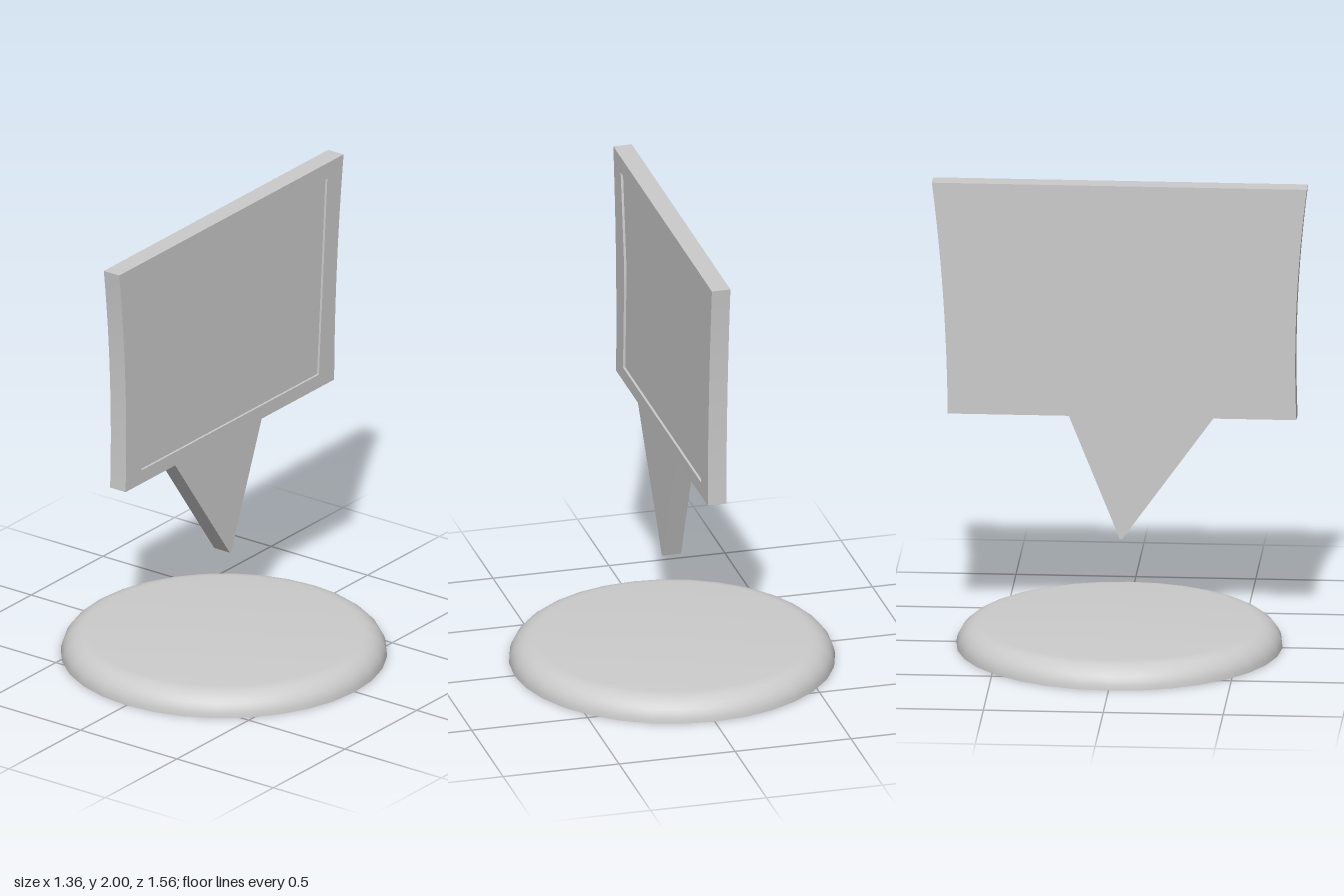
import * as THREE from 'three';
import { toCreasedNormals } from 'three/addons/utils/BufferGeometryUtils.js';

const material = new THREE.MeshStandardMaterial({ color: 0xcccccc });

// Outline of the sign: slightly flared, bowed sides and an off-centre pointer (drawn in -z, y)
function signOutline() {
  const s = new THREE.Shape();
  s.moveTo(-0.74, 1);
  s.lineTo(-0.394, 1);
  s.lineTo(0.0, 0.47);
  s.lineTo(-0.004 + 0.004 - 0.004 + 0.0, 0.47);
  return s;
}

// Closed sign shape
function signShape() {
  const s = new THREE.Shape();
  s.moveTo(-0.74, 1);
  s.lineTo(-0.394, 1);
  s.lineTo(-0.014, 0.47);
  s.lineTo(-0.004, 0.47);
  s.lineTo(0.209, 1);
  s.lineTo(0.714, 1);
  s.quadraticCurveTo(0.718, 1.5, 0.78, 2);
  s.lineTo(-0.784, 2);
  s.quadraticCurveTo(-0.72, 1.5, -0.74, 1);
  return s;
}

// Extrudes a shape sideways, from x0 to x1
function slab(name, shape, x0, x1) {
  let geo = new THREE.ExtrudeGeometry(shape, { depth: x1 - x0, bevelEnabled: false, curveSegments: 12 });
  geo.translate(0, 0, x0);
  geo.rotateY(Math.PI / 2);
  geo = toCreasedNormals(geo, 0.5);
  const mesh = new THREE.Mesh(geo, material);
  mesh.name = name;
  return mesh;
}

export function createModel() {
  const model = new THREE.Group();
  model.name = 'signOnBase';

  // Sign: a solid board with a thin rim around a shallow recessed panel
  const sign = new THREE.Group();
  sign.name = 'sign';
  const rim = signShape();
  const recess = [[-0.667, 1.93], [-0.611, 1.52], [-0.613, 1.42], [-0.63, 1.06], [0.608, 1.06], [0.667, 1.93]];
  rim.holes.push(new THREE.Path(recess.map(([u, v]) => new THREE.Vector2(u, v))));
  sign.add(slab('board', signShape(), -0.04, 0.03), slab('boardRim', rim, 0.03, 0.04));
  model.add(sign);

  // Base: a flat disc with a rounded upper edge
  const profile = [new THREE.Vector2(0, 0)];
  for (let i = 0; i <= 8; i++) {
    const a = (i / 8) * Math.PI / 2;
    profile.push(new THREE.Vector2(0.57 + 0.11 * Math.cos(a), 0.1 * Math.sin(a)));
  }
  profile.push(new THREE.Vector2(0, 0.1));
  const base = new THREE.Mesh(toCreasedNormals(new THREE.LatheGeometry(profile, 32), 0.6), material);
  base.name = 'base';
  model.add(base);

  return model;
}
